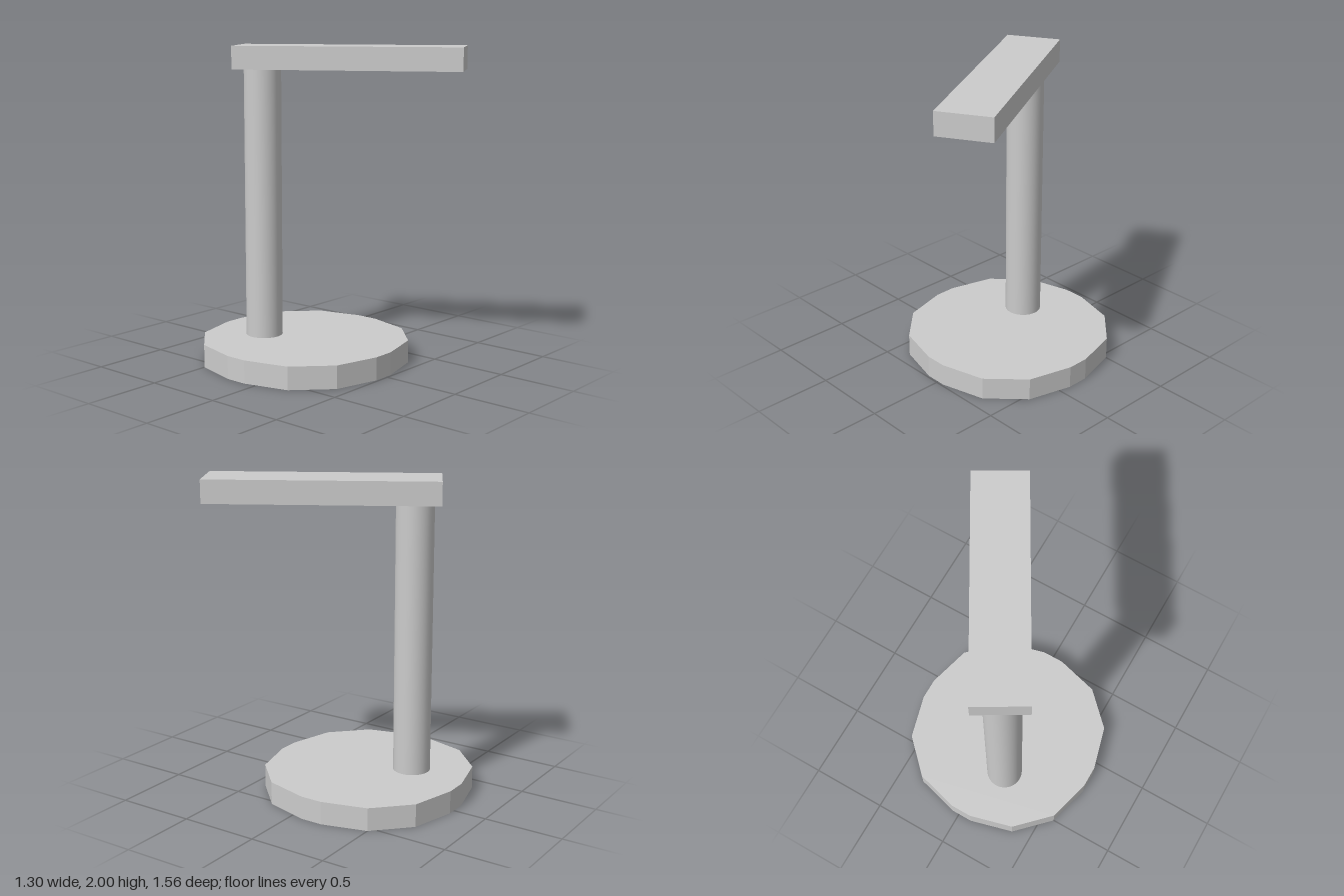
import * as THREE from 'three';

const grey = new THREE.MeshStandardMaterial({ color: 0xcccccc });

function addPart(group, name, geometry, x, y, z) {
  const mesh = new THREE.Mesh(geometry, grey);
  mesh.name = name;
  mesh.position.set(x, y, z);
  group.add(mesh);
  return mesh;
}

// Faceted disc: a square with four large corner arcs of three straight steps each
function baseGeometry(inset, radius, height) {
  const points = [];
  for (let corner = 0; corner < 4; corner++) {
    const mid = (corner + 0.5) * Math.PI / 2;
    for (let step = 0; step <= 3; step++) {
      const a = corner * Math.PI / 2 + step * Math.PI / 6;
      points.push(new THREE.Vector2(
        inset * Math.sign(Math.cos(mid)) + radius * Math.cos(a),
        inset * Math.sign(Math.sin(mid)) + radius * Math.sin(a)));
    }
  }
  return new THREE.ExtrudeGeometry(new THREE.Shape(points), { depth: height, bevelEnabled: false })
    .rotateX(-Math.PI / 2);
}

// Closed solid through rectangular loops [x0, x1, z0, z1, y], from the top face to the last face
function loopSolid(loops) {
  const rings = loops.map(([x0, x1, z0, z1, y]) => [[x0, y, z0], [x0, y, z1], [x1, y, z1], [x1, y, z0]]);
  const out = [];
  const quad = (a, b, c, d) => out.push(...a, ...b, ...c, ...a, ...c, ...d);
  quad(...rings[0]);
  for (let r = 0; r < rings.length - 1; r++) {
    for (let i = 0; i < 4; i++) {
      const j = (i + 1) % 4;
      quad(rings[r][i], rings[r + 1][i], rings[r + 1][j], rings[r][j]);
    }
  }
  quad(...rings[rings.length - 1].slice().reverse());
  const geometry = new THREE.BufferGeometry();
  geometry.setAttribute('position', new THREE.Float32BufferAttribute(out, 3));
  geometry.computeVertexNormals();
  return geometry;
}

export function createModel() {
  const group = new THREE.Group();
  group.name = 'lampStand';

  addPart(group, 'base', baseGeometry(0.07, 0.565, 0.145), -0.022, 0, -0.148);

  addPart(group, 'post', new THREE.CylinderGeometry(0.117, 0.117, 1.71, 32, 1, true), -0.138, 1.0, -0.397);

  // Arm with a shallow light recess under its free end
  const arm = addPart(group, 'arm', loopSolid([
    [-0.17, 0.17, -0.71, 0.71, 0.145],
    [-0.17, 0.17, -0.71, 0.71, 0],
    [-0.117, 0.117, -0.06, 0.62, 0],
    [-0.117, 0.117, -0.06, 0.62, 0.045],
  ]), 0.145, 1.855, 0.078);
  arm.rotation.y = Math.PI / 6;

  return group;
}
